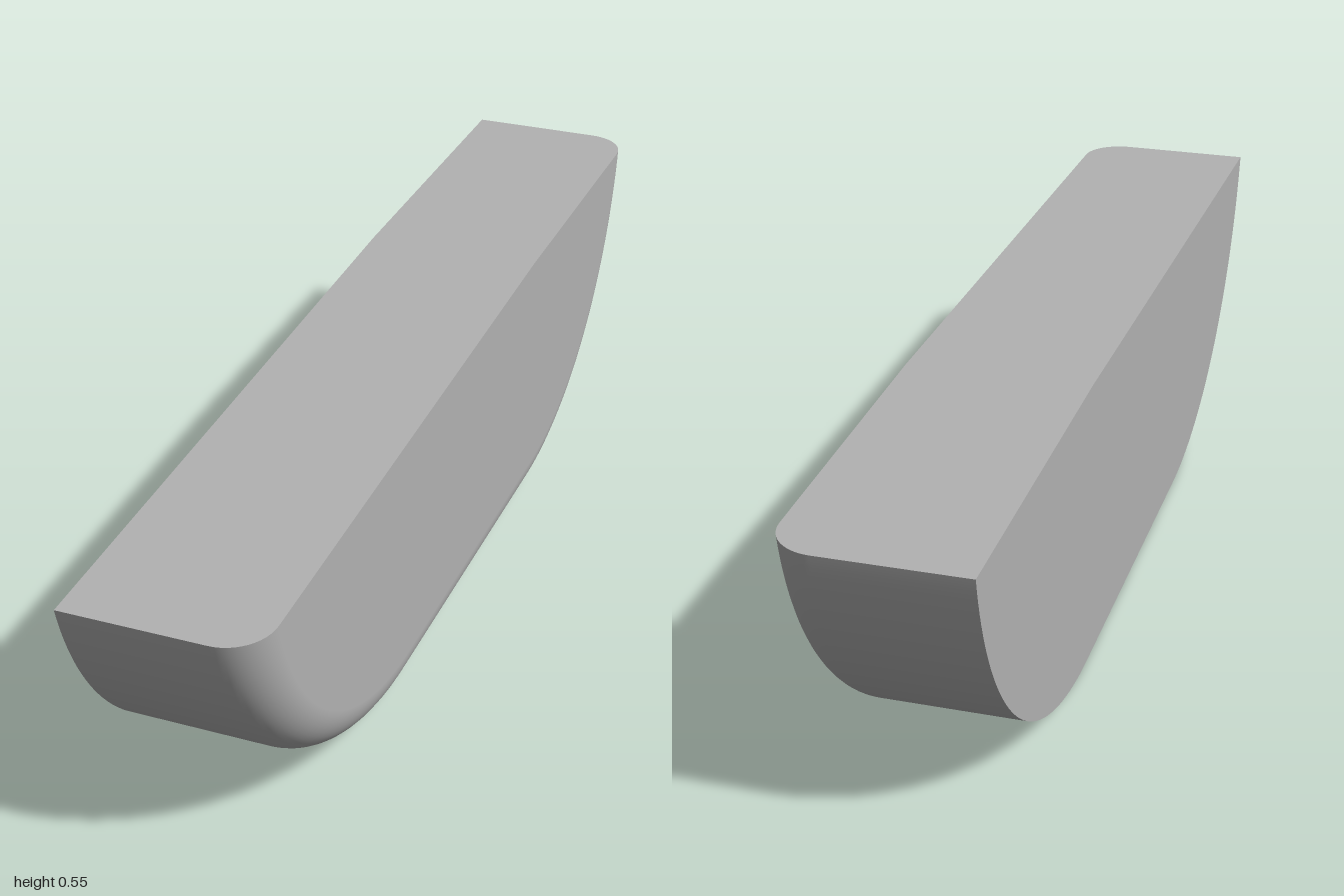
import * as THREE from 'three';

const HALF = 0.169;   // half thickness in x
const FILLET = 0.08;  // rounded edge on the +x side
const R = 0.655;      // radius of the end arcs
const KNEE_Z = -0.33, TOP = 0.545, FRONT_TOP = 0.503;
const ARC_STEPS = 40, FILLET_STEPS = 12;

// Height of the top face: flat at the back, sloping down to the front
const topY = z => z <= KNEE_Z ? TOP : TOP - (TOP - FRONT_TOP) * (z - KNEE_Z) / (1 - KNEE_Z);

// Arc centres chosen so that the ends reach z = 1 and z = -1
const reach = y => Math.sqrt(R * R - (R - y) ** 2);
const centre = { 1: 1 - reach(FRONT_TOP), [-1]: 1 - reach(TOP) };

// Angle at which an arc of radius r meets the top face
function endAngle(r, side) {
  let t = 1.3;
  for (let k = 0; k < 12; k++) {
    const z = side * (centre[side] + r * Math.sin(t));
    t = Math.acos((R - topY(z)) / r);
  }
  return t;
}

// Hull outline, inset by d, from the front end under the keel to the back end
function outline(d) {
  const r = R - d, pts = [];
  for (const side of [1, -1]) {
    const end = endAngle(r, side);
    for (let k = 0; k <= ARC_STEPS; k++) {
      const t = end * (side > 0 ? 1 - k / ARC_STEPS : k / ARC_STEPS);
      pts.push({
        z: side * (centre[side] + r * Math.sin(t)), y: R - r * Math.cos(t),
        nz: side * Math.sin(t), ny: -Math.cos(t),
      });
    }
  }
  return pts;
}

function geometry(positions, normals, index) {
  const g = new THREE.BufferGeometry();
  g.setAttribute('position', new THREE.Float32BufferAttribute(positions, 3));
  if (normals) g.setAttribute('normal', new THREE.Float32BufferAttribute(normals, 3));
  g.setIndex(index);
  if (!normals) g.computeVertexNormals();
  return g;
}

// Index for a grid of rows, optionally turned over
function gridIndex(rows, cols, flip) {
  const index = [];
  for (let i = 0; i < rows - 1; i++) for (let j = 0; j < cols - 1; j++) {
    const a = i * cols + j, b = a + 1, c = a + cols, d = c + 1;
    if (flip) index.push(a, c, b, b, c, d);
    else index.push(a, b, c, b, d, c);
  }
  return index;
}

// Flat side, fanned out from the knee of the top edge
function sideFace(x, pts, flip) {
  const pos = [x, TOP, KNEE_Z], index = [];
  pts.forEach((p, j) => {
    pos.push(x, p.y, p.z);
    if (j) index.push(0, ...(flip ? [j + 1, j] : [j, j + 1]));
  });
  return geometry(pos, null, index);
}

export function createModel() {
  const group = new THREE.Group();
  const grey = new THREE.MeshStandardMaterial({ color: 0xb2b2b2 });
  grey.name = 'grey';
  const add = (name, geo) => {
    const mesh = new THREE.Mesh(geo, grey);
    mesh.name = name;
    group.add(mesh);
  };

  // Cross-sections: straight across, then around the fillet
  const sections = [{ x: -HALF, a: 0 }];
  for (let k = 0; k <= FILLET_STEPS; k++) {
    const a = k / FILLET_STEPS * Math.PI / 2;
    sections.push({ x: HALF - FILLET + FILLET * Math.sin(a), a });
  }
  for (const s of sections) s.pts = outline(FILLET * (1 - Math.cos(s.a)));

  // Curved underside with its rounded edge
  const pos = [], nor = [], top = [];
  for (const { x, a, pts } of sections) {
    for (const p of pts) {
      pos.push(x, p.y, p.z);
      nor.push(Math.sin(a), p.ny * Math.cos(a), p.nz * Math.cos(a));
    }
    const front = pts[0], back = pts[pts.length - 1];
    top.push(x, front.y, front.z, x, TOP, KNEE_Z, x, back.y, back.z);
  }
  const cols = sections[0].pts.length;
  add('curvedUnderside', geometry(pos, nor, gridIndex(sections.length, cols, false)));

  // Top face with a slight bend, and the two flat sides
  const topGeo = geometry(top, null, gridIndex(sections.length, 3, true)).toNonIndexed();
  topGeo.computeVertexNormals();
  add('topFace', topGeo);
  add('leftSide', sideFace(HALF, sections[sections.length - 1].pts, false));
  add('rightSide', sideFace(-HALF, sections[0].pts, true));
  return group;
}
